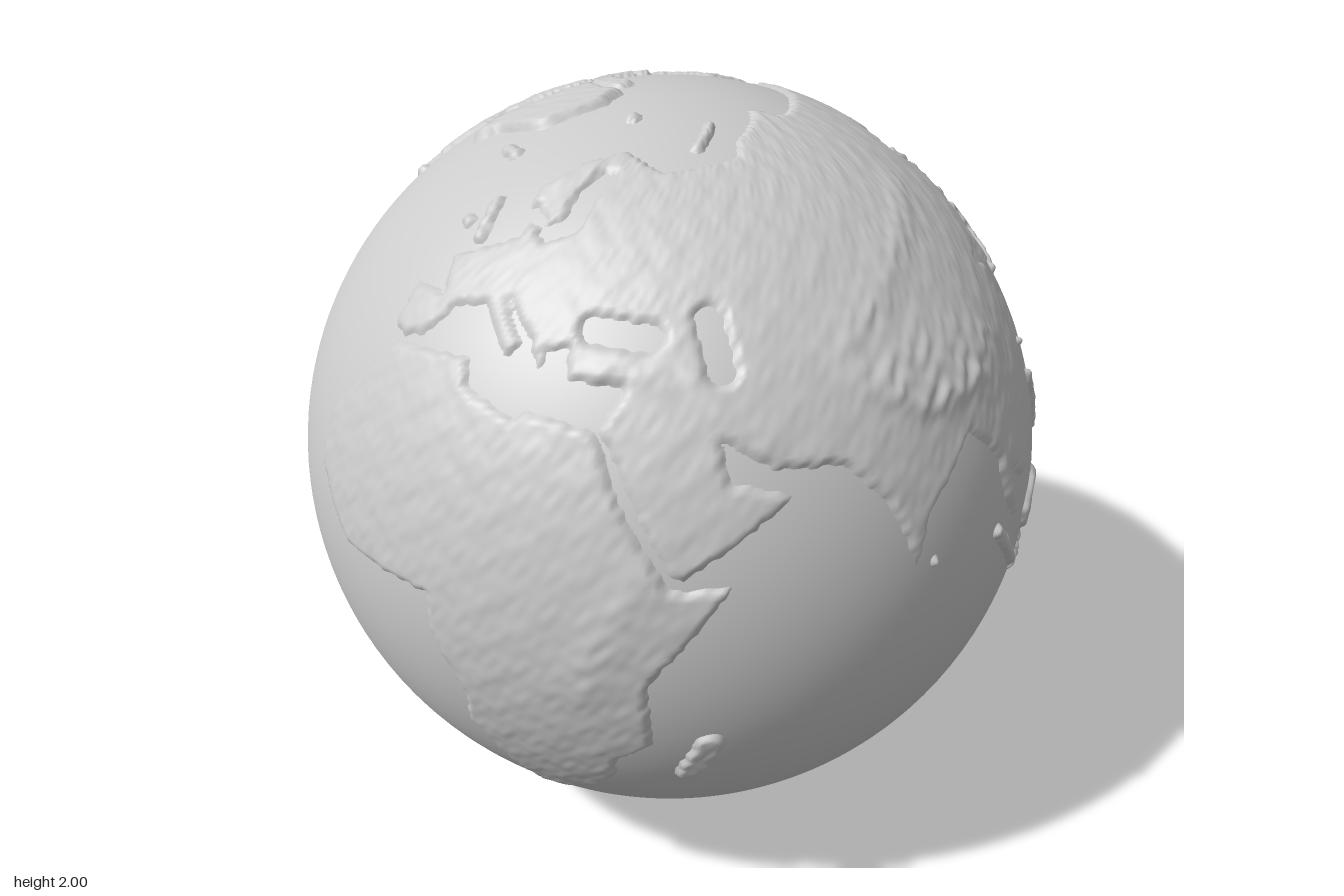
import * as THREE from 'three';

const R = 0.974, RAD = Math.PI / 180;
const material = new THREE.MeshStandardMaterial({ color: 0xcccccc });

// Continents: plateau height and simplified coast as longitude, latitude pairs
const LANDS = {
  africa: [0.012, [-6,35.5, 10,37, 11,33.5, 20,31, 22,32.5, 32.5,31, 37,21, 43,11.5, 51,11.8, 40,-3, 40.6,-15, 35,-20, 35,-24,
    32,-29, 26,-34, 19,-34.7, 12,-17, 13.5,-12, 9,-1, 9,4.5, -8,4.5, -16.8,13, -17,21, -10,30]],
  eurasia: [0.011, [-9,37, -9,43.5, -1.5,43.5, -4.7,48.4, 4,52, 8.5,54, 8.5,57.5, 5.5,59, 5.5,62, 14,67.5, 26,71, 41,67, 68,69,
    73,72.5, 104,77.5, 113,73.5, 140,72.5, 180,68.8, 190,66, 178,62.5, 163,59.5, 157,51, 156,57.5, 162,61.5, 143,59.3, 135.5,54.8,
    140.5,52, 140,48, 128,40, 129.3,36, 126.5,34.5, 125,39.5, 118,39, 122,37, 119.5,35, 121.8,30, 114,22.3, 106,20, 109,12, 105,9,
    100.5,13.3, 104,1.5, 98.5,9, 97,16.5, 91,22.5, 80.2,15, 77.6,8, 73,19, 67,25, 57,26, 50,30, 51,25, 59.7,22.5, 45,13, 43,13,
    35,28, 32.5,31, 36,36.5, 27,36.8, 26.5,40.5, 23,40, 22.5,36.5, 19.5,41, 13,45.5, 18.5,40, 16,38, 9,44, 3,42.5, -1,37.5, -5.5,36]],
  northAmerica: [0.011, [-168,65.7, -157,71.3, -128,70, -96,68, -94,71.5, -81,69, -78,62.3, -64.5,60, -56,52.5, -66,50, -61,46,
    -66,43.5, -70.5,43.5, -76,36, -81.3,31, -80.3,25.3, -83,29.8, -97.3,27.5, -97,20, -91,18.5, -87,21.5, -88.5,16, -83.5,15,
    -83.5,10.5, -78,8.5, -84,8.5, -95,15.8, -105.5,20.3, -113,31, -110,23, -117,32.7, -124,41, -123,48.5, -135,58.5, -150,60,
    -163.5,54.8, -158,58.5, -165,62]],
  southAmerica: [0.011, [-77,8.5, -72,12, -62,10.5, -51,4, -48,-1, -35.3,-5.3, -39,-14, -41,-22, -48.5,-26, -57,-36.5, -67,-46,
    -66,-55, -73.5,-52, -73.5,-37, -70.3,-18.3, -76,-14, -81.3,-5, -77.5,4]],
  australia: [0.012, [113.7,-22.5, 115.5,-34, 124,-33.5, 131,-31.5, 138,-35, 146,-39, 150,-37.3, 153.5,-28, 146,-18.8, 142.5,-10.8,
    140.5,-17.5, 136,-12.2, 131,-11.5, 122.5,-17.5]],
  antarctica: [0.041, [-1e5,-78, -150,-77, -100,-73, -68,-73, -58,-63.2, -62,-75, -37,-78, -10,-71, 53,-66.5, 75,-69, 110,-66.2,
    145,-67, 170,-71.8, 165,-78, 1e5,-78, 1e5,-120, -1e5,-120]],
  greenland: [0.02, [-73,78, -54,71, -52,64, -44,60, -40,65, -22,70.5, -17,80, -35,83.4]],
};

// Islands: half width in degrees, then the centre line
const ISLANDS = [
  [2.2, 46,-23, 48.5,-15], [3, 111.5,0, 115.5,2], [1.2, 96,5, 105,-5], [0.6, 106,-7, 124,-9], [0.8, 120.5,1, 120.5,-5],
  [1.6, 133,-2, 141,-5.5, 149,-9], [1, 121,18, 125.5,7], [0.9, 131,32.5, 140,36.5, 141,41], [1.3, 143,43.3], [0.6, 142.7,47, 142.7,54],
  [0.8, 80.7,7.7], [0.9, 167.5,-45.7, 172.8,-41.5], [0.9, 175.5,-41, 175.5,-37.5], [1.1, 146.5,-42.3], [0.6, -84,22.3, -70,19],
  [1.3, -56.3,49], [0.9, 54,71.5, 66,76.5], [1.3, 17,78.5], [1.2, -21,64.8, -16,65], [1.1, -1,52, -4,57.5], [1.2, -7.7,53.4],
  [2, -67,64.5, -86,72.5], [1.6, -122,73, -106,71], [2, -86,77.5, -72,82], [1, -112,75.7, -84,75.2], [0.4, -155.5,19.6, -158,21.4],
  [0.5, 150,-5, 160,-9.5], [0.9, 121,23.7], [0.6, 178,-17.8],
];

// Inland seas and bays cut from the land: half width, then the centre line
const SEAS = [
  [1.2, 15,55.3, 19.5,57, 20,62, 23.5,65], [0.7, 8,57.8, 12,56.5], [1.7, 30.5,43.3, 39.5,42.7], [1.7, 51,38.5, 49.5,45],
  [3.8, -88,60.5, -83,58.5], [1.5, -80.5,53.5],
];

// Mountain ranges: extra height, half width in degrees, then the crest line
const RANGES = [
  [0.014, 2.5, -74,8, -78,-3, -69,-18, -72.5,-50], [0.008, 4, -150,63, -122,53, -106,36, -98,18], [0.01, 2, 72,35, 82,29, 95,28.5],
  [0.011, 5, 80,34, 100,31], [0.007, 2.5, 70,39, 90,48, 112,55], [0.006, 2, 32,38, 45,38, 56,29], [0.007, 3, 39,12, 31,-4],
  [0.006, 2, 7,61, 16,68],
];

const wobble = (x, y, f) => (Math.sin(x * f + 1.7 * Math.sin(y * f * 0.7)) + Math.sin(y * f * 1.3 + 2 * Math.sin(x * f * 0.6))) / 2;

// Distance in degrees of arc from a point to a polyline
function lineDistance(lon, lat, p, closed) {
  const c = Math.max(0.02, Math.cos(lat * RAD)), n = p.length;
  let best = Infinity;
  for (let i = 0; i < (closed || n === 2 ? n : n - 2); i += 2) {
    const j = (i + 2) % n;
    const ax = (p[i] - lon) * c, ay = p[i + 1] - lat, bx = (p[j] - p[i]) * c, by = p[j + 1] - p[i + 1];
    const t = Math.min(1, Math.max(0, -(ax * bx + ay * by) / (bx * bx + by * by || 1)));
    best = Math.min(best, Math.hypot(ax + t * bx, ay + t * by));
  }
  return best;
}

function isInside(lon, lat, p) {
  let inside = false;
  for (let i = 0, j = p.length - 2; i < p.length; j = i, i += 2)
    if (p[i + 1] > lat !== p[j + 1] > lat && lon < p[i] + ((lat - p[i + 1]) / (p[j + 1] - p[i + 1])) * (p[j] - p[i])) inside = !inside;
  return inside;
}

// Depth inland from a coast, with the inland seas removed
function inlandDepth(lon, lat, outline) {
  let d = lineDistance(lon, lat, outline, true) * (isInside(lon, lat, outline) ? 1 : -1);
  for (const [width, ...line] of SEAS) d = Math.min(d, lineDistance(lon, lat, line) - width);
  return d;
}

// Raised patch of land: its rim dips just under the sea surface
function landMesh(name, points, height, step, depthAt) {
  const lons = points.filter((_, i) => i % 2 === 0), lats = points.filter((_, i) => i % 2 === 1);
  const margin = 3.6;
  const lat0 = Math.max(-90, Math.min(...lats) - margin), lat1 = Math.min(90, Math.max(...lats) + margin);
  const shrink = Math.max(0.2, Math.cos((lat0 + lat1) / 2 * RAD));
  const polar = Math.max(...lons) > 1000, pad = margin / shrink;
  const lon0 = polar ? -180 : Math.min(...lons) - pad, lon1 = polar ? 180 : Math.max(...lons) + pad;
  const nx = Math.ceil((lon1 - lon0) / step * shrink), ny = Math.ceil((lat1 - lat0) / step);
  const position = [], depth = [], index = [];
  for (let j = 0; j <= ny; j++) for (let i = 0; i <= nx; i++) {
    const lon = lon0 + (lon1 - lon0) * i / nx, lat = lat0 + (lat1 - lat0) * j / ny;
    const d = depthAt(lon, lat) + 0.25 * wobble(lon, lat, 1.9);
    const rise = THREE.MathUtils.smoothstep(d, -0.5, 0.9);
    let top = height + 0.0012 * wobble(lon, lat, 0.8) + 0.0008 * wobble(lat, lon, 2.1);
    if (d > -0.8) for (const [h, w, ...crest] of RANGES)
      top += h * Math.exp(-((lineDistance(lon, lat, crest) / w) ** 2)) * (0.85 + 0.3 * wobble(lon, lat, 1.4));
    const r = R - 0.006 + (top + 0.006) * rise, c = Math.cos(lat * RAD);
    position.push(r * c * Math.sin(lon * RAD), r * Math.sin(lat * RAD), r * c * Math.cos(lon * RAD));
    depth.push(d);
  }
  for (let j = 0; j < ny; j++) for (let i = 0; i < nx; i++) {
    const a = j * (nx + 1) + i, b = a + 1, e = a + nx + 1, f = e + 1;
    if (Math.max(depth[a], depth[b], depth[e], depth[f]) > -0.5) index.push(a, b, f, a, f, e);
  }
  const geometry = new THREE.BufferGeometry();
  geometry.setAttribute('position', new THREE.Float32BufferAttribute(position, 3));
  geometry.setIndex(index);
  geometry.computeVertexNormals();
  const mesh = new THREE.Mesh(geometry, material);
  mesh.name = name;
  return mesh;
}

export function createModel() {
  const globe = new THREE.Group();
  globe.name = 'globe';
  const ocean = new THREE.Mesh(new THREE.SphereGeometry(R, 160, 80), material);
  ocean.name = 'ocean';
  globe.add(ocean);

  for (const [name, [height, outline]] of Object.entries(LANDS))
    globe.add(landMesh(name, outline, height, 0.6, (lon, lat) => inlandDepth(lon, lat, outline)));

  const islands = new THREE.Group();
  islands.name = 'islands';
  ISLANDS.forEach(([width, ...line], i) =>
    islands.add(landMesh(`island${i + 1}`, line, 0.013, 0.35, (lon, lat) => width - lineDistance(lon, lat, line))));
  globe.add(islands);

  globe.position.y = 1.02;
  const model = new THREE.Group();
  model.add(globe);
  return model;
}
